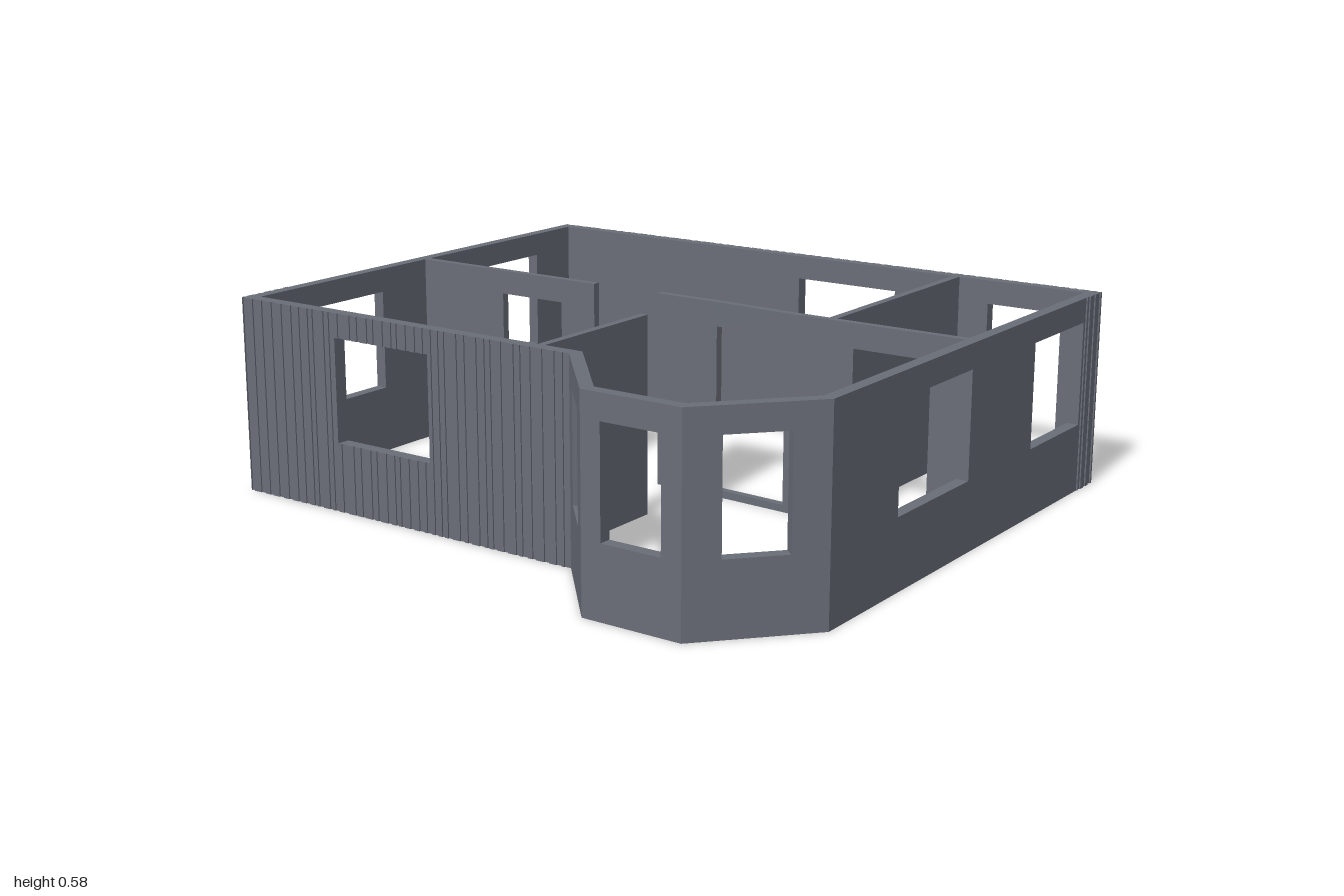
import * as THREE from 'three';
import { mergeGeometries } from 'three/addons/utils/BufferGeometryUtils.js';

const H = 0.585;                 // wall height
const SILL = 0.205, HEAD = 0.513, STEP = 0.022;
const OUTER = 0.036, INNER = 0.024;
const RIB = 0.004;

const win = (s0, s1) => [s0, s1, SILL, HEAD];
const door = (s0, s1) => [s0, s1, STEP, HEAD];

function seeded(seed) {
  return () => (seed = (seed * 16807) % 2147483647) / 2147483647;
}

// Frame of a wall running from a to b: x along it, y up, z towards its inner side
function frame(a, b) {
  const d = b.clone().sub(a).normalize();
  return new THREE.Matrix4().makeBasis(
    new THREE.Vector3(d.x, 0, d.y), new THREE.Vector3(0, 1, 0), new THREE.Vector3(-d.y, 0, d.x)
  ).setPosition(a.x, 0, a.y);
}

// Wall slab with rectangular openings; m0 and m1 shift the inner ends for mitred corners
function wallGeometry(a, b, thick, openings, m0 = 0, m1 = 0) {
  const len = a.distanceTo(b);
  const rect = (P, x0, x1, y0, y1) => new P([[x0, y0], [x1, y0], [x1, y1], [x0, y1]]
    .map(p => new THREE.Vector2(...p)));
  const shape = rect(THREE.Shape, 0, len, 0, H);
  for (const o of openings) shape.holes.push(rect(THREE.Path, ...o));
  const geo = new THREE.ExtrudeGeometry(shape, { depth: thick, bevelEnabled: false });
  const p = geo.attributes.position;
  for (let i = 0; i < p.count; i++) {
    if (p.getZ(i) < thick / 2) continue;
    if (p.getX(i) < 1e-5) p.setX(i, m0);
    else if (p.getX(i) > len - 1e-5) p.setX(i, len + m1);
  }
  geo.applyMatrix4(frame(a, b));
  geo.computeVertexNormals();
  return geo;
}

// Thin upright cladding strips of uneven width, cut away at the openings
function claddingGeometry(a, b, from, to, openings, seed) {
  const rnd = seeded(seed), parts = [];
  const add = (x0, x1, y0, y1) => {
    if (x1 - x0 < 0.001) return;
    const g = new THREE.BoxGeometry(x1 - x0, y1 - y0, RIB);
    parts.push(g.translate((x0 + x1) / 2, (y0 + y1) / 2, -RIB / 2));
  };
  for (let s = from; s < to;) {
    const e = Math.min(s + 0.008 + rnd() * 0.022, to);
    const hit = openings.find(o => s < o[1] && e > o[0]);
    if (!hit) add(s, e, 0, H);
    else {
      const c0 = Math.max(s, hit[0]), c1 = Math.min(e, hit[1]);
      add(s, c0, 0, H);
      add(c1, e, 0, H);
      add(c0, c1, 0, hit[2]);
      add(c0, c1, hit[3], H);
    }
    s = e + 0.006 + rnd() * 0.014;
  }
  return mergeGeometries(parts).applyMatrix4(frame(a, b));
}

export function createModel() {
  const house = new THREE.Group();
  house.name = 'houseWalls';
  const material = new THREE.MeshStandardMaterial({ color: 0x6a6e78 });
  const add = (name, geo) => {
    const mesh = new THREE.Mesh(geo, material);
    mesh.name = name;
    house.add(mesh);
  };

  // Outer walls: start corner (x, z), openings by distance along the wall, cladding range
  const outer = [
    { name: 'backWall', at: [-0.63, -0.996], open: [win(0.2, 0.55), win(0.97, 1.315)], clad: [0, 0.2] },
    { name: 'leftWall', at: [0.896, -0.996], open: [win(0.976, 1.326), door(1.646, 1.886)], clad: [0, 1.992] },
    { name: 'frontWall', at: [0.896, 0.996], open: [win(0.111, 0.431), win(0.811, 1.196)], clad: [0, 0.1] },
    { name: 'bayFrontWall', at: [-0.63, 0.996], open: [win(0.098, 0.27)] },
    { name: 'bayMiddleWall', at: [-0.904, 0.75], open: [win(0.06, 0.24)] },
    { name: 'bayBackWall', at: [-0.904, 0.45], open: [win(0.098, 0.27)] },
    { name: 'rightWall', at: [-0.63, 0.204], open: [win(0.49, 0.834)], clad: [0.02, 1.2] },
  ];
  const n = outer.length;
  const pts = outer.map(w => new THREE.Vector2(...w.at));
  const dirs = pts.map((p, i) => pts[(i + 1) % n].clone().sub(p).normalize());
  // Mitre shift at each corner from the turn between the walls that meet there
  const mitre = dirs.map((d, i) => {
    const q = dirs[(i + n - 1) % n];
    return OUTER * Math.tan(Math.atan2(q.cross(d), q.dot(d)) / 2);
  });
  outer.forEach((w, i) => {
    const a = pts[i], b = pts[(i + 1) % n];
    add(w.name, wallGeometry(a, b, OUTER, w.open, mitre[i], -mitre[(i + 1) % n]));
    if (w.clad) add(w.name + 'Cladding', claddingGeometry(a, b, ...w.clad, w.open, 17 + i * 101));
  });

  // Inner partitions: centre line from (x, z) to (x, z), with openings
  const inner = [
    ['rearPartition', [0.132, -0.965], [0.132, -0.285], [door(0.325, 0.555)]],
    ['hallPartition', [0.132, -0.05], [0.132, 0.155], []],
    ['angledPartition', [0.132, 0.15], [0.119, 0.41], [door(0.01, 0.25)]],
    ['frontPartition', [0.119, 0.405], [0.119, 0.965], [door(0.215, 0.455)]],
    ['sidePartition', [-0.6, 0.085], [-0.135, 0.085], []],
    ['entryPartition', [0.12, 0.54], [0.87, 0.54], []],
  ];
  for (const [name, from, to, open] of inner) {
    const a = new THREE.Vector2(...from), b = new THREE.Vector2(...to);
    const d = b.clone().sub(a).normalize();
    const half = new THREE.Vector2(d.y, -d.x).multiplyScalar(INNER / 2);
    add(name, wallGeometry(a.add(half), b.add(half), INNER, open));
  }
  return house;
}
